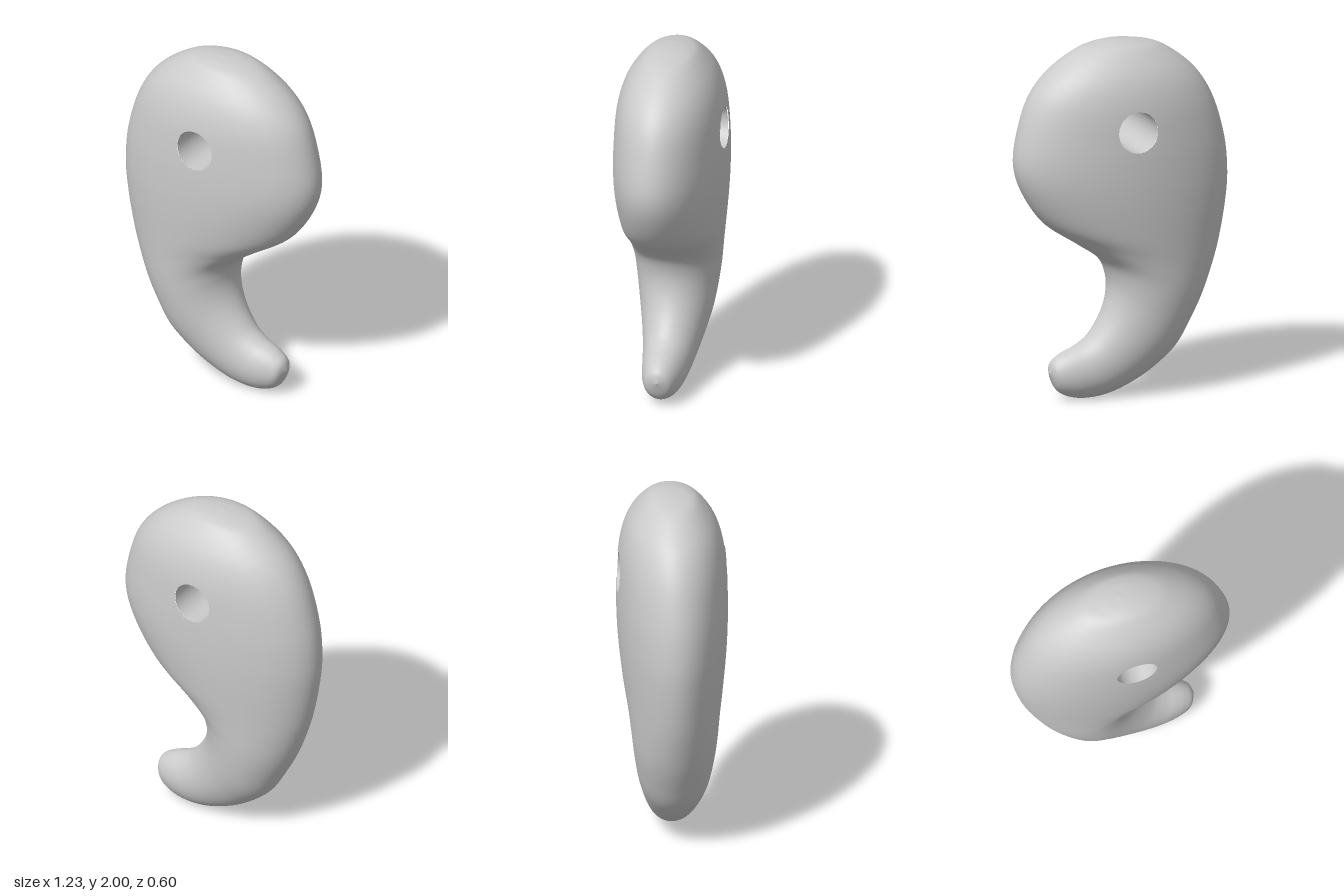
import * as THREE from 'three';

// Cross-sections from crown to tail tip: outer x, y, inner x, y, half depth
const SECTIONS = [
  [0, 2, 0, 2, 0],
  [-0.12, 1.987, 0.12, 1.99, 0.09],
  [-0.25, 1.95, 0.26, 1.95, 0.155],
  [-0.42, 1.82, 0.42, 1.84, 0.24],
  [-0.53, 1.65, 0.53, 1.7, 0.285],
  [-0.6, 1.42, 0.595, 1.5, 0.3],
  [-0.62, 1.21, 0.612, 1.33, 0.3],
  [-0.605, 1.03, 0.56, 1.17, 0.29],
  [-0.57, 0.84, 0.44, 1.0, 0.27],
  [-0.53, 0.7, 0.26, 0.875, 0.25],
  [-0.47, 0.54, 0.12, 0.775, 0.235],
  [-0.4, 0.4, 0.07, 0.67, 0.22],
  [-0.32, 0.265, 0.07, 0.56, 0.2],
  [-0.22, 0.17, 0.11, 0.45, 0.175],
  [-0.1, 0.09, 0.18, 0.35, 0.15],
  [0.05, 0.025, 0.25, 0.3, 0.13],
  [0.18, 0.003, 0.31, 0.275, 0.115],
  [0.29, 0.015, 0.36, 0.25, 0.095],
  [0.37, 0.06, 0.4, 0.215, 0.065],
  [0.415, 0.16, 0.415, 0.16, 0],
];
const HOLE = { x: 0.005, y: 1.54, r: 0.115 };
const ROWS = 130, SIDES = 128;

function bodyGeometry() {
  const curve = (pick) => new THREE.CatmullRomCurve3(
    SECTIONS.map((s) => new THREE.Vector3(...pick(s))), false, 'catmullrom', 0.5);
  const outer = curve((s) => [s[0], s[1], s[4]]);
  const inner = curve((s) => [s[2], s[3], s[4]]);

  // Elliptical loops between the outer and inner outline
  const points = [];
  for (let i = 0; i <= ROWS; i++) {
    const a = outer.getPoint(i / ROWS), b = inner.getPoint(i / ROWS);
    for (let j = 0; j < SIDES; j++) {
      const t = (j / SIDES) * Math.PI * 2, k = (1 + Math.cos(t)) / 2;
      points.push(a.x + (b.x - a.x) * k, a.y + (b.y - a.y) * k, Math.max(a.z, 0) * Math.sin(t));
    }
  }
  const inHole = (n) =>
    Math.hypot(points[3 * n] - HOLE.x, points[3 * n + 1] - HOLE.y) < HOLE.r;

  const all = [], open = [];
  const addFace = (...f) => {
    all.push(...f);
    if (!f.every(inHole)) open.push(...f);
  };
  for (let i = 0; i < ROWS; i++) {
    for (let j = 0; j < SIDES; j++) {
      const p = i * SIDES + j, q = i * SIDES + (j + 1) % SIDES;
      if (i > 0) addFace(p, q, p + SIDES);
      if (i < ROWS - 1) addFace(q, q + SIDES, p + SIDES);
    }
  }
  const geometry = new THREE.BufferGeometry();
  geometry.setAttribute('position', new THREE.Float32BufferAttribute(points, 3));
  geometry.setIndex(all);
  geometry.computeVertexNormals();

  // Open the hole: drop the faces inside it and snap its rim to a circle
  geometry.setIndex(open);
  const pos = geometry.attributes.position;
  for (let n = 0; n < pos.count; n++) {
    if (!inHole(n)) continue;
    const angle = Math.atan2(pos.getY(n) - HOLE.y, pos.getX(n) - HOLE.x);
    pos.setXY(n, HOLE.x + HOLE.r * Math.cos(angle), HOLE.y + HOLE.r * Math.sin(angle));
  }
  return geometry;
}

// Wall of the hole, its ends following the curved faces
function holeGeometry() {
  const geometry = new THREE.CylinderGeometry(HOLE.r, HOLE.r, 0.6, 48, 1, true);
  geometry.rotateX(Math.PI / 2).translate(HOLE.x, HOLE.y, 0);
  const pos = geometry.attributes.position;
  for (let n = 0; n < pos.count; n++) {
    const depth = 0.3 - 0.055 * (pos.getY(n) - 1.42);
    pos.setZ(n, Math.sign(pos.getZ(n)) * depth * Math.sqrt(1 - (pos.getX(n) / 0.58) ** 2));
  }
  return geometry;
}

export function createModel() {
  const group = new THREE.Group();
  group.name = 'commaPendant';
  const body = new THREE.Mesh(bodyGeometry(), new THREE.MeshStandardMaterial({ color: 0xcccccc }));
  body.name = 'body';
  const wall = new THREE.Mesh(holeGeometry(),
    new THREE.MeshStandardMaterial({ color: 0xcccccc, side: THREE.BackSide }));
  wall.name = 'cordHole';
  group.add(body, wall);
  return group;
}
